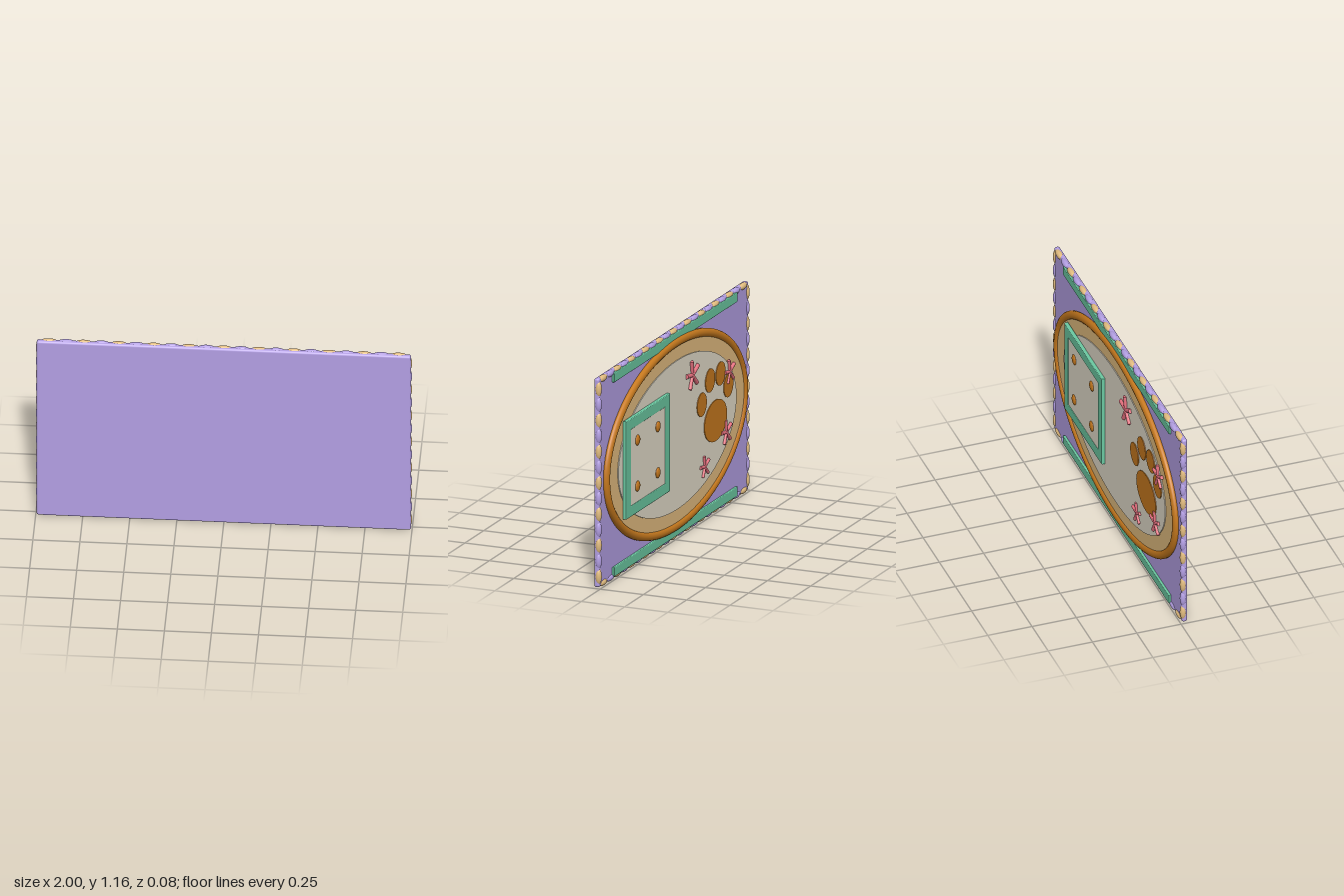
import * as THREE from 'three';
import { RoundedBoxGeometry } from 'three/addons/geometries/RoundedBoxGeometry.js';

const MID = 0.5825; // height of the panel's centre

const paint = (color) => new THREE.MeshStandardMaterial({ color });
const lilac = paint(0xb39fe3), tan = paint(0xe3bd80), amber = paint(0xc87a1e);
const green = paint(0x6cc9a2), cream = paint(0xe3dccb), pink = paint(0xe4707e);

export function createModel() {
  const model = new THREE.Group();

  function add(parent, name, geometry, material, x, y, z) {
    const mesh = new THREE.Mesh(geometry, material);
    mesh.name = name;
    mesh.position.set(x, y, z);
    parent.add(mesh);
    return mesh;
  }

  // Flat oval lying in the panel's plane, from zBack (outermost) to zFront
  function oval(parent, name, material, x, y, rx, ry, zBack, zFront) {
    const g = new THREE.CylinderGeometry(1, 1, zFront - zBack, 72).rotateX(Math.PI / 2);
    g.scale(rx, ry, 1);
    return add(parent, name, g, material, x, y, (zBack + zFront) / 2);
  }

  function pebble(parent, name, material, x, y, z, rx, ry, rz) {
    const g = new THREE.SphereGeometry(1, 20, 14).scale(rx, ry, rz);
    return add(parent, name, g, material, x, y, z);
  }

  function group(name) {
    const g = new THREE.Group();
    g.name = name;
    model.add(g);
    return g;
  }

  // Main panel
  add(model, 'panel', new RoundedBoxGeometry(1.99, 1.155, 0.031, 4, 0.012), lilac, 0, MID, 0.0245);

  // Border of alternating beads on all four edges
  const border = group('beadBorder');
  for (const s of [-1, 1]) {
    for (let i = -10; i <= 10; i++) {
      pebble(border, 'bead', i % 2 ? lilac : tan, i * 0.093, MID + s * 0.5645, 0.017, 0.048, 0.018, 0.017);
    }
    for (let i = -6; i <= 6; i++) {
      pebble(border, 'bead', i % 2 ? lilac : tan, s * 0.982, MID + i * 0.0865, 0.017, 0.018, 0.045, 0.017);
    }
    // Long strips along the top and bottom
    add(model, 'strip', new RoundedBoxGeometry(1.64, 0.052, 0.016, 2, 0.004), green, 0, MID + s * 0.5375, 0.004);
  }

  // Oval rug with a rounded rim
  oval(model, 'rugBorder', tan, 0, MID, 0.918, 0.507, -0.007, 0.012);
  oval(model, 'rugCentre', cream, 0, MID, 0.785, 0.412, -0.012, 0.01);
  const rimPoints = [];
  for (let i = 0; i < 48; i++) {
    const a = (i / 48) * Math.PI * 2;
    rimPoints.push(new THREE.Vector3(0.917 * Math.cos(a), 0.507 * Math.sin(a), 0));
  }
  const rimPath = new THREE.CatmullRomCurve3(rimPoints, true);
  const rim = new THREE.TubeGeometry(rimPath, 160, 0.024, 14, true).scale(1, 1, 0.78);
  add(model, 'rugRim', rim, amber, 0, MID, 0);

  // Square plaque: frame with opening, inset and four studs
  const plaque = group('plaque');
  const px = 0.433, w = 0.285, h = 0.267, edge = 0.052;
  const rect = (target, a, b) => target.moveTo(-a, -b).lineTo(a, -b).lineTo(a, b).lineTo(-a, b).closePath();
  const outline = rect(new THREE.Shape(), w, h);
  outline.holes.push(rect(new THREE.Path(), w - edge, h - edge));
  const frame = new THREE.ExtrudeGeometry(outline, {
    depth: 0.014, bevelEnabled: true, bevelSize: 0.004, bevelThickness: 0.004, bevelSegments: 3,
  });
  add(plaque, 'frame', frame, green, px, MID, -0.0275);
  add(plaque, 'inset', new THREE.BoxGeometry((w - edge) * 2, (h - edge) * 2, 0.02), cream, px, MID, -0.019);
  for (const sx of [-1, 1]) {
    for (const sy of [-1, 1]) {
      pebble(plaque, 'stud', amber, px + 0.004 + sx * 0.135, MID + 0.002 + sy * 0.1275, -0.03, 0.028, 0.029, 0.01);
    }
  }

  // Paw mark: one pad and four toes
  const paw = group('paw');
  oval(paw, 'pad', amber, -0.5, 0.525, 0.15, 0.113, -0.016, 0);
  for (const [x, y] of [[-0.318, 0.662], [-0.428, 0.766], [-0.566, 0.767], [-0.671, 0.674]]) {
    oval(paw, 'toe', amber, x, y, 0.063, 0.065, -0.016, 0);
  }

  // Five-armed flowers
  const flowers = [[-0.19, 0.861, 0.08], [-0.685, 0.745, 0.066], [-0.64, 0.423, 0.068], [-0.355, 0.309, 0.06]];
  for (const [x, y, r] of flowers) {
    const flower = group('flower');
    flower.position.set(x, y, -0.015);
    for (let i = 0; i < 5; i++) {
      const arm = new THREE.CylinderGeometry(r * 0.16, r * 0.13, r, 12).translate(0, r / 2, 0);
      add(flower, 'petal', arm, pink, 0, 0, 0).rotation.z = -0.17 - (i * Math.PI * 2) / 5;
    }
  }

  return model;
}
